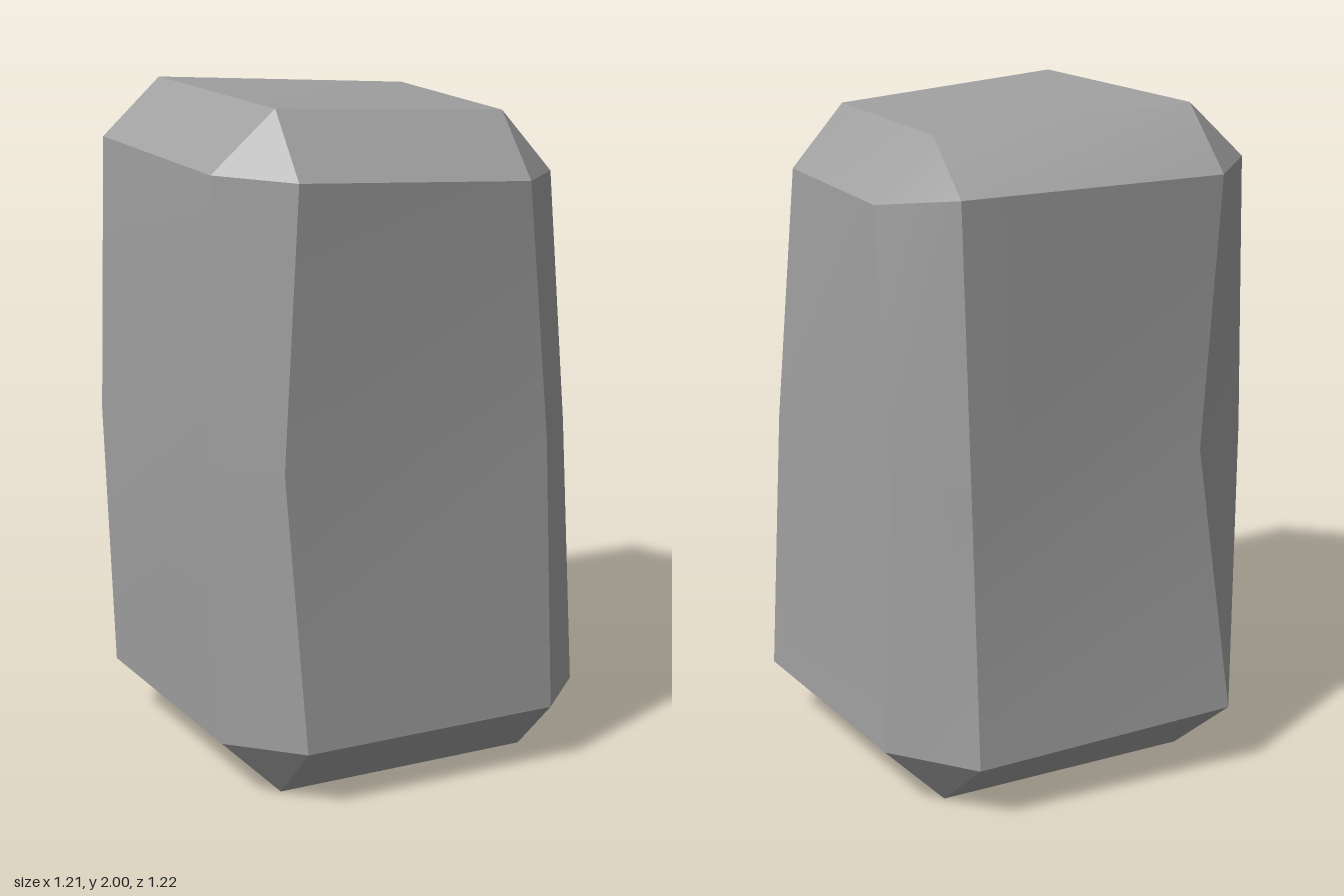
import * as THREE from 'three';
import { toCreasedNormals } from 'three/addons/utils/BufferGeometryUtils.js';

// Corners run counterclockwise from above: front left, front right, back right, back left.
const bottom = [[-0.39, 0, 0.43], [0.42, 0, 0.43], [0.42, 0, -0.375], [-0.39, 0, -0.375]];
const top = [[-0.395, 1.99, 0.43], [0.335, 1.945, 0.41], [0.39, 1.955, -0.285], [-0.39, 2, -0.38]];

// Each ring has two points per chamfered corner, starting at the left end of the front.
const low = [[-0.39, 0.18, 0.61], [0.42, 0.18, 0.61], [0.605, 0.18, 0.43], [0.605, 0.185, -0.36],
  [0.41, 0.17, -0.58], [-0.425, 0.2, -0.61], [-0.575, 0.18, -0.37], [-0.572, 0.18, 0.42]];
const waist = [[-0.44, 1, 0.57], [0.41, 1, 0.57], [0.575, 1, 0.4], [0.573, 1, -0.36],
  [0.403, 1, -0.52], [-0.36, 1, -0.52], [-0.605, 1, -0.365], [-0.605, 1, 0.39]];
const high = [[-0.41, 1.81, 0.605], [0.325, 1.765, 0.59], [0.5, 1.76, 0.415], [0.575, 1.78, -0.285],
  [0.435, 1.82, -0.53], [-0.39, 1.82, -0.56], [-0.57, 1.83, -0.39], [-0.585, 1.82, 0.42]];

// Repeats cap corners so a cap can be joined to an eight-point ring
const asRing = (c) => [c[0], c[1], c[1], c[2], c[2], c[3], c[3], c[0]];

function blockGeometry() {
  const positions = [];
  const triangle = (a, b, c) => {
    if (a !== b && b !== c && c !== a) positions.push(...a, ...b, ...c);
  };
  const quad = (a, b, c, d) => { triangle(a, b, c); triangle(a, c, d); };

  // Chamfers and sides
  const rings = [asRing(bottom), low, waist, high, asRing(top)];
  for (let r = 0; r < rings.length - 1; r++) {
    for (let i = 0; i < 8; i++) {
      const j = (i + 1) % 8;
      quad(rings[r][i], rings[r][j], rings[r + 1][j], rings[r + 1][i]);
    }
  }
  // End faces
  quad(...top);
  quad(...[...bottom].reverse());

  const geometry = new THREE.BufferGeometry();
  geometry.setAttribute('position', new THREE.Float32BufferAttribute(positions, 3));
  return toCreasedNormals(geometry, 0.45);
}

export function createModel() {
  const stoneGrey = new THREE.MeshStandardMaterial({ color: 0xa0a0a0 });
  stoneGrey.name = 'stoneGrey';

  const block = new THREE.Mesh(blockGeometry(), stoneGrey);
  block.name = 'stoneBlock';

  const model = new THREE.Group();
  model.name = 'stonePillar';
  model.add(block);
  return model;
}
